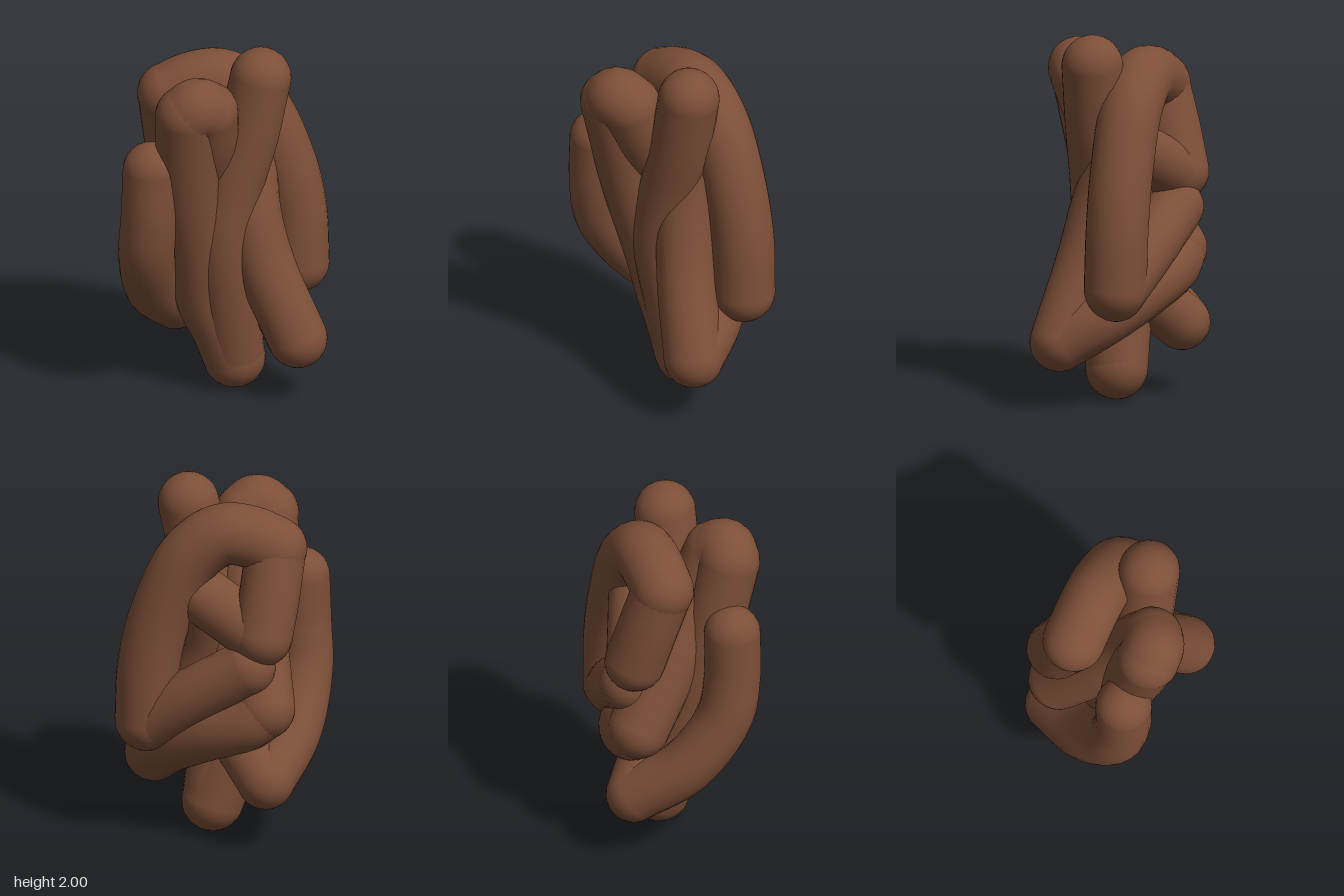
import * as THREE from 'three';

const brown = new THREE.MeshStandardMaterial({ color: 0x7d4f38 });
brown.name = 'brown';

// A round strand through the given points, closed by a ball at each end
function strand(name, radius, points) {
  const group = new THREE.Group();
  group.name = name;
  const path = points.map((p) => new THREE.Vector3(...p));
  const curve = new THREE.CatmullRomCurve3(path, false, 'centripetal');
  const tube = new THREE.Mesh(new THREE.TubeGeometry(curve, 48, radius, 24, false), brown);
  tube.name = name + 'Tube';
  group.add(tube);
  for (const end of [path[0], path[path.length - 1]]) {
    const ball = new THREE.Mesh(new THREE.SphereGeometry(radius, 24, 16), brown);
    ball.name = name + 'End';
    ball.position.copy(end);
    group.add(ball);
  }
  return group;
}

export function createModel() {
  const model = new THREE.Group();
  model.name = 'tangledStrands';

  // Points where two strands meet in a sharp bend
  const foot = [0.06, 0.172, -0.02];
  const frontFoot = [0.385, 0.36, 0.19];
  const backBend = [-0.23, 0.79, -0.255];
  const innerTop = [0.145, 1.4, -0.11];
  const loopEnd = [-0.285, 1.665, -0.14];
  const sideFoot = [-0.24, 0.385, -0.285];
  const foldEnd = [-0.1, 1.715, 0.235];

  model.add(
    // Outer strand on the right side, curling under to the back and inward
    strand('sideStrand', 0.152, [
      [-0.4, 1.378, 0.215], [-0.41, 1.1, 0.21], [-0.42, 0.87, 0.16],
      [-0.37, 0.58, -0.04], sideFoot]),
    strand('sideReturn', 0.152, [sideFoot, [-0.06, 0.6, -0.1]]),
    // Front strand: up from the foot and over the top
    strand('frontStrand', 0.168, [
      foot, [-0.01, 0.36, -0.01], [-0.085, 0.52, 0.0], [-0.13, 0.75, 0.04],
      [-0.195, 1.2, 0.15], [-0.215, 1.71, 0.27]]),
    strand('topFold', 0.166, [[-0.215, 1.71, 0.27], [-0.16, 1.75, 0.27], foldEnd]),
    // It returns down through the middle to the back
    strand('frontReturn', 0.166, [foldEnd, [-0.1, 1.5, 0.145], [-0.16, 1.2, -0.01], backBend]),
    // Low strand from the back bend to the front foot
    strand('lowerStrand', 0.16, [
      backBend, [-0.14, 0.72, -0.26], [0.07, 0.63, -0.19], [0.28, 0.5, -0.03], frontFoot]),
    // From the front foot up behind the tall strand, then across the loop
    strand('frontLeg', 0.16, [
      frontFoot, [0.21, 0.78, 0.1], [0.14, 1.1, 0.03], innerTop]),
    strand('innerStrand', 0.155, [innerTop, [-0.215, 1.2, -0.27]]),
    // Tall strand from the highest point to the foot
    strand('tallStrand', 0.165, [
      [0.195, 1.835, 0.07], [0.125, 1.5, 0.075], [0.04, 1.2, 0.08],
      [-0.01, 0.9, 0.08], [0.025, 0.5, 0.03], foot]),
    // Big back loop
    strand('backLoop', 0.168, [
      loopEnd, [-0.15, 1.725, -0.14], [0.0, 1.735, -0.14],
      [0.18, 1.6, -0.14], [0.33, 1.27, -0.14], [0.395, 0.98, -0.14], [0.41, 0.67, -0.135]]),
    strand('loopDrop', 0.163, [loopEnd, [-0.255, 1.42, -0.215], [-0.22, 1.21, -0.273]]),
    strand('loopRise', 0.152, [[0.41, 0.65, -0.14], [0.14, 0.85, -0.225], [-0.14, 1.03, -0.283]]),
  );
  return model;
}
